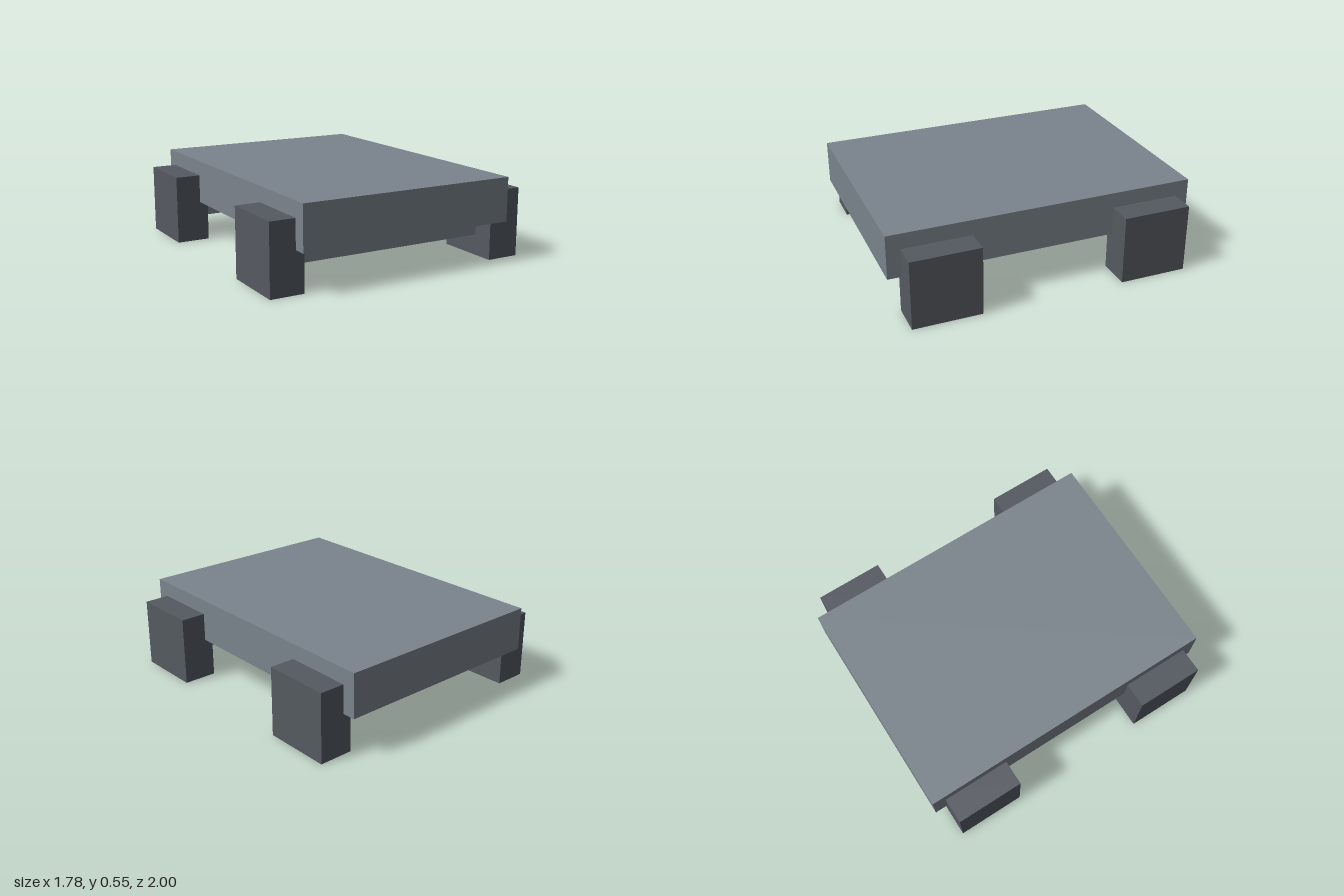
import * as THREE from 'three';

const bodyMaterial = new THREE.MeshStandardMaterial({ color: 0x7b848d });
const wheelMaterial = new THREE.MeshStandardMaterial({ color: 0x555a61 });

function box(name, material, size, position) {
  const mesh = new THREE.Mesh(new THREE.BoxGeometry(...size), material);
  mesh.name = name;
  mesh.position.set(...position);
  return mesh;
}

export function createModel() {
  const model = new THREE.Group();
  model.name = 'chassis';

  // Flat deck
  model.add(box('deck', bodyMaterial, [1.45, 0.285, 2], [0, 0.4075, 0]));

  for (const [end, z] of [['front', 0.69], ['rear', -0.69]]) {
    // Square axle bar under the deck, running into both wheel blocks
    model.add(box(end + 'Axle', bodyMaterial, [1.45, 0.18, 0.16], [0, 0.225, z]));

    // Block wheels, overlapping the deck sides
    for (const [side, sign] of [['Left', 1], ['Right', -1]]) {
      model.add(box(end + side + 'Wheel', wheelMaterial, [0.22, 0.45, 0.446], [sign * 0.78, 0.225, z]));
    }
  }
  return model;
}
